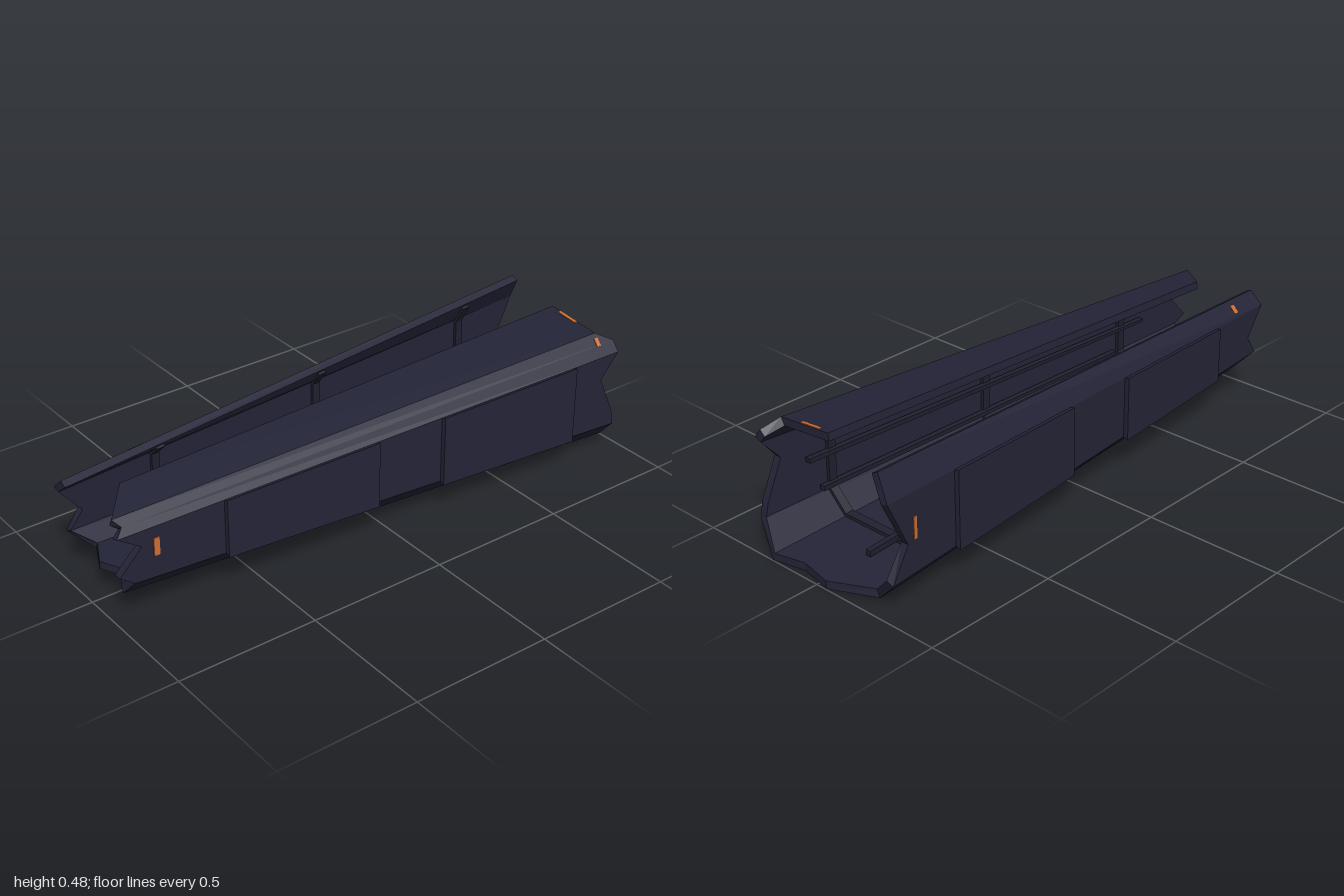
import * as THREE from 'three';

const material = (name, color) => {
  const m = new THREE.MeshStandardMaterial({ color });
  m.name = name;
  return m;
};

// Hull cross-section at the small front end and the large back end,
// running from the top plate over the +x wall, floor and -x wall
const FRONT = [[.015, .41], [.145, .39], [.19, .345], [.19, .17], [.13, .105], [-.13, .105], [-.19, .17], [-.19, .345], [-.14, .39]];
const BACK = [[.025, .49], [.245, .47], [.303, .4], [.303, .11], [.205, .013], [-.21, .015], [-.303, .11], [-.303, .395], [-.257, .485]];

// Torn ends: position along the section, front z, back z
const JAGGED = [
  [0, .88, -.9], [1, .99, -.9], [1.5, .97, -.96], [2, 1, -.96], [2.31, .92, -.89], [2.8, 1, -.95], [3, .95, -.96],
  [4, .96, -1], [4.3, .91, -.975], [4.6, .95, -1], [5, .9, -.93], [6, .97, -.96], [6.4, .92, -.89], [7, 1, -.97], [8, 1, -.96],
];

const lerp = THREE.MathUtils.lerp;

// Outward direction of each section edge, and the mitred one of each corner
const edges = BACK.slice(1).map((p, i) => new THREE.Vector2(BACK[i][1] - p[1], p[0] - BACK[i][0]).normalize());
const miters = BACK.map((_, i) => {
  const a = edges[Math.max(i - 1, 0)], b = edges[Math.min(i, edges.length - 1)];
  const sum = a.clone().add(b);
  return sum.multiplyScalar(1 / (1 + a.dot(b)));
});

// Point on the tapered hull: u along the section, z along the length, out from the skin
function hullPoint(u, z, out) {
  const i = Math.min(Math.floor(u), 7), f = u - i, t = (1 - z) / 2;
  const at = (k, axis) => lerp(FRONT[k][axis], BACK[k][axis], t);
  const onEdge = f > 0 && f < 1;
  const nx = onEdge ? edges[i].x : miters[i + f].x;
  const ny = onEdge ? edges[i].y : miters[i + f].y;
  return [lerp(at(i, 0), at(i + 1, 0), f) + nx * out, lerp(at(i, 1), at(i + 1, 1), f) + ny * out, z];
}

// Closed slab following the hull; rows are [u, front z, back z]
function slab(rows, inner, outer) {
  const rings = rows.map(([u, zf, zb]) => [
    hullPoint(u, zf, outer), hullPoint(u, zb, outer), hullPoint(u, zb, inner), hullPoint(u, zf, inner),
  ]);
  const pos = [];
  const quad = (a, b, c, d) => pos.push(...a, ...b, ...c, ...a, ...c, ...d);
  for (let i = 0; i < rings.length - 1; i++) {
    const r = rings[i], s = rings[i + 1];
    for (let k = 0; k < 4; k++) {
      const n = (k + 1) % 4;
      quad(r[k], s[k], s[n], r[n]);
    }
  }
  const first = rings[0], last = rings[rings.length - 1];
  quad(first[0], first[1], first[2], first[3]);
  quad(last[3], last[2], last[1], last[0]);
  const g = new THREE.BufferGeometry();
  g.setAttribute('position', new THREE.Float32BufferAttribute(pos, 3));
  g.computeVertexNormals();
  return g;
}

export function createModel() {
  const model = new THREE.Group();
  model.name = 'hullSection';
  const hull = material('dark navy hull', 0x242438);
  const frame = material('darker frame', 0x20202f);
  const orange = material('orange marking', 0xd07035);

  const add = (name, mat, rows, inner, outer) => {
    const mesh = new THREE.Mesh(slab(rows, inner, outer), mat);
    mesh.name = name;
    model.add(mesh);
  };
  const patch = (name, mat, u0, u1, zf, zb, inner, outer) =>
    add(name, mat, [[u0, zf, zb], [u1, zf, zb]], inner, outer);

  // Broken shell, open along the top
  add('shell', hull, JAGGED, -.028, 0);

  // Armour plates on both side walls
  for (const [zf, zb] of [[.63, .06], [-.2, -.76]]) patch('rightArmourPlate', hull, 2, 3, zf, zb, -.005, .018);
  for (const [zf, zb] of [[.71, .17], [-.12, -.68]]) patch('leftArmourPlate', hull, 6, 7, zf, zb, -.005, .018);

  // Keel strips under the floor
  for (const [zf, zb] of [[.72, .17], [-.12, -.68]]) patch('keelStrip', hull, 4.55, 4.68, zf, zb, -.005, .018);

  // Ribs inside the shell
  for (const z of [.64, -.03, -.7]) {
    add('rib', frame, [1, 2, 3, 4, 5, 6, 7, 7.9].map(u => [u, z + .015, z - .015]), -.04, -.02);
  }

  // Pipes running along the inside
  const pipes = [
    [2.45, .06, .74, -.8], [2.88, .06, .6, -.75], [4.62, .05, .73, -.83], [6.12, .06, .72, -.8], [6.55, .05, .4, -.8],
  ];
  for (const [u, w, zf, zb] of pipes) patch('pipe', frame, u - w / 2, u + w / 2, zf, zb, -.054, -.034);

  // Orange markings
  patch('topMarking', orange, .2, .6, -.892, -.906 + .012, -.002, .003);
  patch('topMarkingEdge', orange, .2, .6, -.885, -.898, -.002, .003);
  patch('rightMarking', orange, 2.22, 2.57, .88, .86, -.002, .003);
  patch('rightShoulderMarking', orange, 1.2, 1.55, -.885, -.9, -.002, .003);
  patch('leftMarking', orange, 6.42, 6.7, -.85, -.865, -.002, .003);
  patch('leftShoulderMarking', orange, 7.25, 7.7, .86, .84, -.002, .003);
  return model;
}
